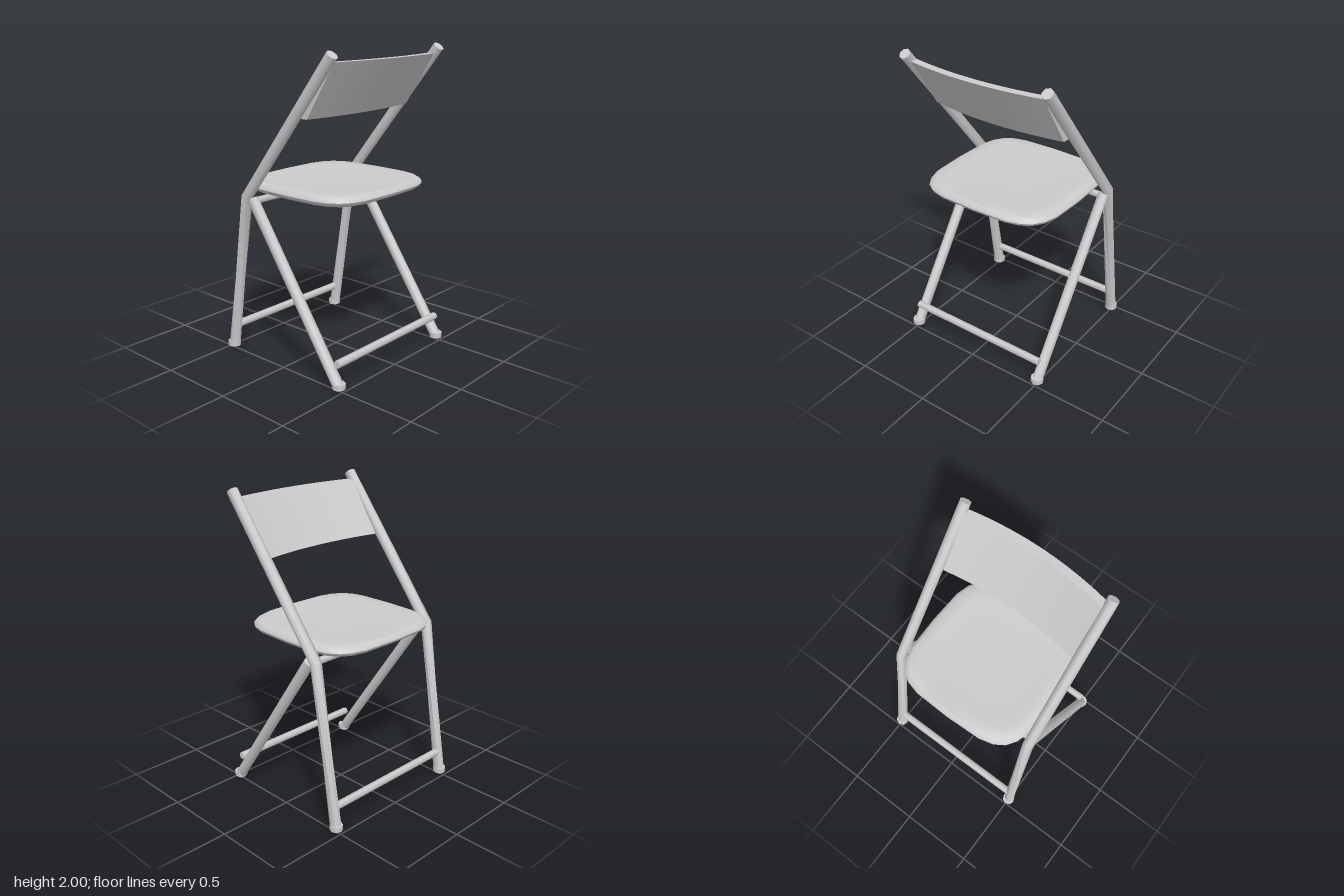
import * as THREE from 'three';
import { mergeVertices, toCreasedNormals } from 'three/addons/utils/BufferGeometryUtils.js';

const material = new THREE.MeshStandardMaterial({ color: 0xcccccc });
const SIDES = 8;

// Tube through [y, z] points in a side plane; each ring may be twisted.
function tubeGeometry(path, radius, twists = []) {
  const pts = path.map(([y, z]) => new THREE.Vector3(0, y, z));
  const u = new THREE.Vector3(1, 0, 0);
  const pos = [], index = [];
  pts.forEach((p, k) => {
    const t = new THREE.Vector3();
    if (k > 0) t.add(p.clone().sub(pts[k - 1]).normalize());
    if (k < pts.length - 1) t.add(pts[k + 1].clone().sub(p).normalize());
    const v = t.normalize().clone().cross(u);
    for (let i = 0; i < SIDES; i++) {
      const a = (i / SIDES) * Math.PI * 2 + (twists[k] || 0);
      const q = p.clone().addScaledVector(u, Math.cos(a) * radius).addScaledVector(v, Math.sin(a) * radius);
      pos.push(q.x, q.y, q.z);
    }
  });
  for (let k = 0; k < pts.length - 1; k++) {
    for (let i = 0; i < SIDES; i++) {
      const j = (i + 1) % SIDES, a = k * SIDES, b = a + SIDES;
      index.push(a + i, a + j, b + j, a + i, b + j, b + i);
    }
  }
  // end caps
  const last = (pts.length - 1) * SIDES;
  for (let i = 1; i < SIDES - 1; i++) {
    index.push(0, i + 1, i, last, last + i, last + i + 1);
  }
  const geo = new THREE.BufferGeometry();
  geo.setAttribute('position', new THREE.Float32BufferAttribute(pos, 3));
  geo.setIndex(index);
  return toCreasedNormals(geo, 0.9);
}

// Cushion: a lathe squared off into a rounded square outline.
function seatGeometry() {
  const profile = [
    [0, 1.092], [0.8, 1.09], [0.93, 1.093], [0.985, 1.108], [1, 1.124],
    [0.985, 1.14], [0.94, 1.155], [0.8, 1.15], [0, 1.146],
  ].map(([r, y]) => new THREE.Vector2(r, y));
  const geo = new THREE.LatheGeometry(profile, 24);
  const p = geo.attributes.position;
  const square = (c) => Math.sign(c) * Math.sqrt(Math.abs(c));
  for (let i = 0; i < p.count; i++) {
    const x = p.getX(i), z = p.getZ(i), r = Math.hypot(x, z);
    if (r < 1e-6) continue;
    p.setX(i, 0.473 * r * square(Math.abs(x / r) < 1e-6 ? 0 : x / r));
    p.setZ(i, 0.462 * r * square(Math.abs(z / r) < 1e-6 ? 0 : z / r));
  }
  geo.deleteAttribute('uv');
  geo.deleteAttribute('normal');
  return toCreasedNormals(mergeVertices(geo, 1e-4), 0.7);
}

// Panel sheared to the slope of the frame and bowed across its width.
function backrestGeometry() {
  const geo = new THREE.BoxGeometry(0.94, 0.335, 0.052, 10, 1, 1);
  const p = geo.attributes.position;
  for (let i = 0; i < p.count; i++) {
    const x = p.getX(i) / 0.47;
    p.setZ(i, p.getZ(i) + 0.635 * p.getY(i) + 0.047 * (1 - x * x));
  }
  return toCreasedNormals(geo, 0.6);
}

export function createModel() {
  const group = new THREE.Group();
  const add = (name, geo, x = 0, y = 0, z = 0) => {
    const mesh = new THREE.Mesh(geo, material);
    mesh.name = name;
    mesh.position.set(x, y, z);
    group.add(mesh);
    return mesh;
  };

  // side frames, mirrored
  const rear = tubeGeometry([[0.035, -0.458], [1.07, -0.297], [1.978, 0.418]], 0.036, [Math.PI / 2, 0, 0]);
  const front = tubeGeometry([[0.025, 0.472], [1.065, -0.245]], 0.035);
  const foot = new THREE.CylinderGeometry(0.042, 0.042, 0.034, SIDES);
  for (const [side, x] of [['left', 0.5], ['right', -0.5]]) {
    add(side + 'BackFrameTube', rear, x);
    add(side + 'FrontLeg', front, x);
    add(side + 'RearFoot', foot, x, 0.04, -0.462);
    add(side + 'FrontFoot', foot, x, 0.04, 0.468);
  }

  // cross bars between the legs
  const bars = [
    ['frontCrossBar', 0.5, 0.17, 0.452, 0.025],
    ['rearCrossBar', 0.48, 0.17, -0.444, 0.025],
    ['seatSupportBar', 0.48, 1.05, -0.245, 0.022],
  ];
  for (const [name, half, y, z, r] of bars) {
    add(name, new THREE.CylinderGeometry(r, r, half * 2, 6), 0, y, z).rotation.z = Math.PI / 2;
  }

  add('seat', seatGeometry());
  add('backrest', backrestGeometry(), 0, 1.7675, 0.275);
  return group;
}
